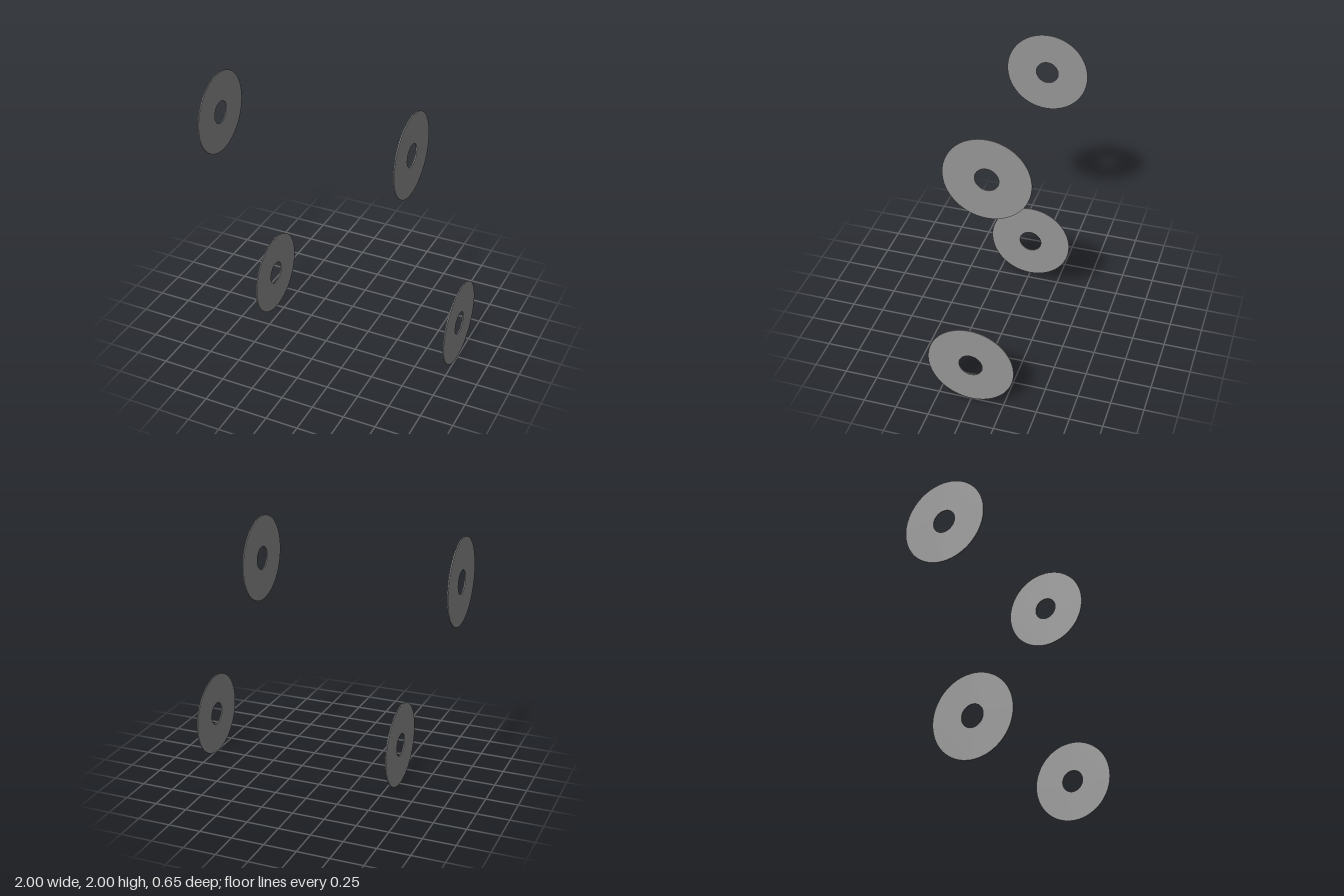
import * as THREE from 'three';

const OUTER = 0.326, INNER = 0.089, THICK = 0.008;

// Thin flat ring whose axis runs along x
function ringGeometry() {
  const shape = new THREE.Shape().absarc(0, 0, OUTER, 0, Math.PI * 2, false);
  shape.holes.push(new THREE.Path().absarc(0, 0, INNER, 0, Math.PI * 2, true));
  const geometry = new THREE.ExtrudeGeometry(shape, {
    depth: THICK, bevelEnabled: false, curveSegments: 64,
  });
  geometry.translate(0, 0, -THICK / 2);
  geometry.rotateY(Math.PI / 2);
  return geometry;
}

export function createModel() {
  const model = new THREE.Group();
  model.name = 'washers';
  const material = new THREE.MeshStandardMaterial({ color: 0x959595 });
  const geometry = ringGeometry();

  // Two upper and two lower washers, the rows staggered along x
  const far = 1 - THICK / 2, near = 0.565;
  const low = OUTER, high = 2 - OUTER;
  const places = [
    ['upperRightWasher', -far, high],
    ['upperLeftWasher', near, high],
    ['lowerRightWasher', -near, low],
    ['lowerLeftWasher', far, low],
  ];
  for (const [name, x, y] of places) {
    const washer = new THREE.Mesh(geometry, material);
    washer.name = name;
    washer.position.set(x, y, 0);
    model.add(washer);
  }
  return model;
}
